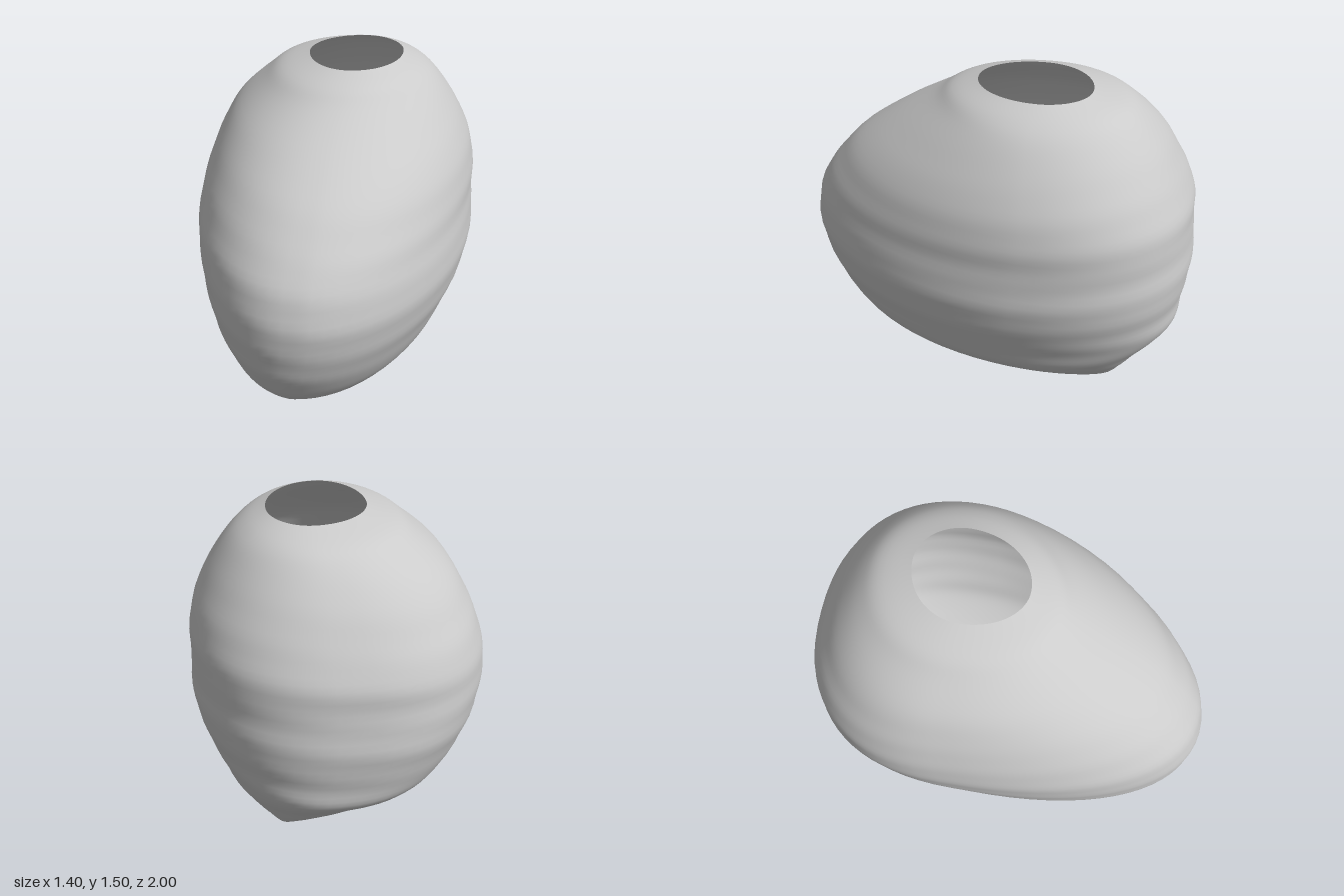
import * as THREE from 'three';

// Cross-sections from bottom to top:
// y, xRight, xLeft (extremes in x), zFront, zBack (extremes in z),
// xFront, xBack (x of the z extremes), zR, zL (z of the -x and +x extremes)
const SECTIONS = [
  [0.00, -0.29, 0.23, 0.515, -0.37, -0.15, 0.00, 0.18, -0.08],
  [0.03, -0.33, 0.36, 0.62, -0.63, -0.15, 0.27, 0.15, -0.25],
  [0.10, -0.40, 0.46, 0.76, -0.735, -0.16, 0.24, 0.12, -0.25],
  [0.20, -0.51, 0.55, 0.86, -0.83, -0.17, 0.16, 0.05, -0.22],
  [0.32, -0.59, 0.60, 0.93, -0.95, -0.16, 0.08, -0.03, -0.20],
  [0.45, -0.645, 0.655, 0.975, -0.975, -0.14, 0.03, -0.10, -0.20],
  [0.62, -0.685, 0.695, 1.00, -1.00, -0.12, 0.00, -0.18, -0.22],
  [0.80, -0.70, 0.69, 0.96, -0.985, -0.11, 0.00, -0.24, -0.25],
  [0.95, -0.67, 0.69, 0.86, -0.975, -0.09, 0.01, -0.27, -0.27],
  [1.10, -0.61, 0.655, 0.72, -0.91, -0.06, 0.03, -0.28, -0.27],
  [1.25, -0.52, 0.58, 0.51, -0.825, -0.03, 0.05, -0.27, -0.26],
  [1.38, -0.38, 0.49, 0.30, -0.72, 0.01, 0.08, -0.25, -0.25],
  [1.45, -0.29, 0.41, 0.20, -0.63, 0.04, 0.10, -0.24, -0.25],
  [1.50, -0.15, 0.315, 0.07, -0.48, 0.06, 0.12, -0.22, -0.25],
];
const STEPS = 5, SIDES = 72;

// Smoothly blended section at fractional index t
function sectionAt(t) {
  const last = SECTIONS.length - 1;
  const i = Math.min(Math.floor(t), last - 1), f = t - i;
  const row = (k) => SECTIONS[THREE.MathUtils.clamp(k, 0, last)];
  return SECTIONS[0].map((_, c) => {
    const [a, b, d, e] = [row(i - 1)[c], row(i)[c], row(i + 1)[c], row(i + 2)[c]];
    const m0 = (d - a) / 2, m1 = (e - b) / 2, g = f * f, h = g * f;
    return (2 * h - 3 * g + 1) * b + (h - 2 * g + f) * m0 + (3 * g - 2 * h) * d + (h - g) * m1;
  });
}

// Lopsided egg outline: four quarter arcs that meet at the extremes
function outlinePoint([y, x0, x1, zf, zb, xf, xb, zR, zL], angle) {
  const c = Math.cos(angle), s = Math.sin(angle);
  const tipX = s >= 0 ? xf : xb, tipZ = s >= 0 ? zf : zb;
  const sideX = c >= 0 ? x1 : x0, sideZ = c >= 0 ? zL : zR;
  const fade = Math.max(0, Math.sin(Math.PI * y / 1.5));
  // Full back corners and -x front, lean +x front; plain arcs at the rims
  const fullness = s < 0 ? 0.15 : c >= 0 ? -0.12 : 0.13;
  const power = 1 - fullness * Math.sqrt(fade);
  const u = Math.abs(c) ** power, v = Math.abs(s) ** power;
  // Faint layered ripples, strongest low on the body
  const ripple = 1 + 0.003 * fade * (1.3 - 0.6 * y) * Math.sin(y * 42 + 2 * Math.sin(angle * 2));
  return [
    (tipX + (sideX - tipX) * u) * ripple,
    THREE.MathUtils.clamp(y, 0, 1.5),
    (sideZ + (tipZ - sideZ) * v) * ripple,
  ];
}

export function createModel() {
  const positions = [], indices = [];
  const rings = (SECTIONS.length - 1) * STEPS;
  for (let r = 0; r <= rings; r++) {
    const section = sectionAt(r / STEPS);
    for (let k = 0; k < SIDES; k++) {
      positions.push(...outlinePoint(section, (k / SIDES) * Math.PI * 2));
    }
  }
  for (let r = 0; r < rings; r++) {
    for (let k = 0; k < SIDES; k++) {
      const n = (k + 1) % SIDES;
      const a = r * SIDES + k, b = r * SIDES + n, c = a + SIDES, d = b + SIDES;
      indices.push(a, c, b, b, c, d);
    }
  }
  const geometry = new THREE.BufferGeometry();
  geometry.setAttribute('position', new THREE.Float32BufferAttribute(positions, 3));
  geometry.setIndex(indices);
  geometry.computeVertexNormals();

  // Hollow shell, open at the top and bottom
  const shell = new THREE.Mesh(
    geometry,
    new THREE.MeshStandardMaterial({ color: 0xcccccc, side: THREE.DoubleSide }),
  );
  shell.name = 'hollowShell';

  const model = new THREE.Group();
  model.name = 'openShell';
  model.add(shell);
  return model;
}
